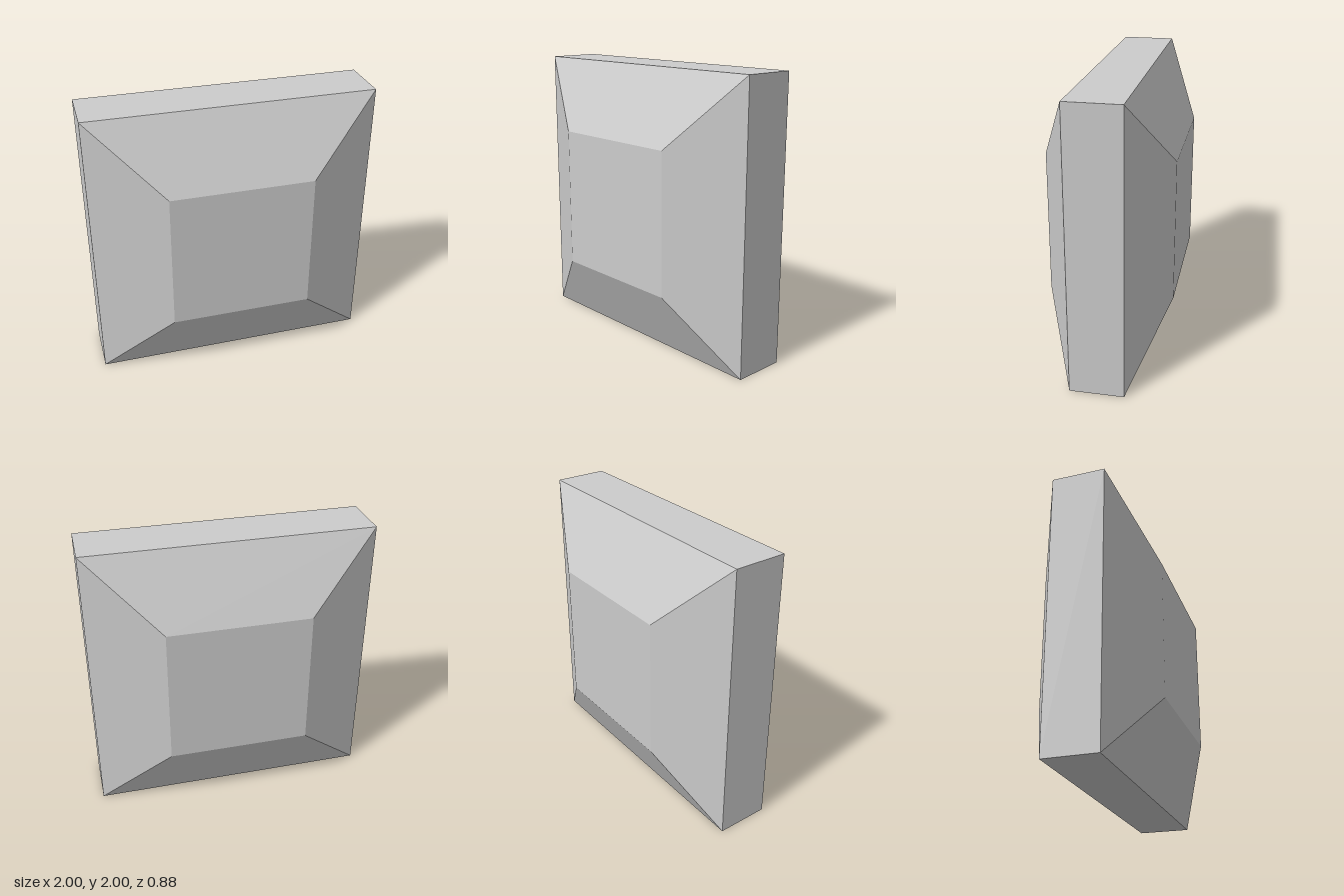
import * as THREE from 'three';

const HALF_DEPTH = 0.4375; // centre to the raised panels
const HALF_RIM = 0.1875;   // half thickness of the square rim

export function createModel() {
  const group = new THREE.Group();
  group.name = 'bevelledBlock';

  // Square slab with three depth bands; the outer two taper to a half-size panel.
  const box = new THREE.BoxGeometry(2, 2, 2 * HALF_DEPTH, 1, 1, 3);
  const pos = box.attributes.position;
  for (let i = 0; i < pos.count; i++) {
    const z = pos.getZ(i);
    const onPanel = Math.abs(z) > HALF_DEPTH * 0.9;
    const scale = onPanel ? 0.5 : 1;
    const depth = onPanel ? HALF_DEPTH : HALF_RIM;
    pos.setXYZ(i, pos.getX(i) * scale, pos.getY(i) * scale, Math.sign(z) * depth);
  }

  // Separate the faces so each facet keeps a flat normal.
  const geometry = box.toNonIndexed();
  geometry.computeVertexNormals();

  const block = new THREE.Mesh(
    geometry,
    new THREE.MeshStandardMaterial({ color: 0xcccccc, flatShading: true })
  );
  block.name = 'block';
  block.position.y = 1;
  group.add(block);
  return group;
}
